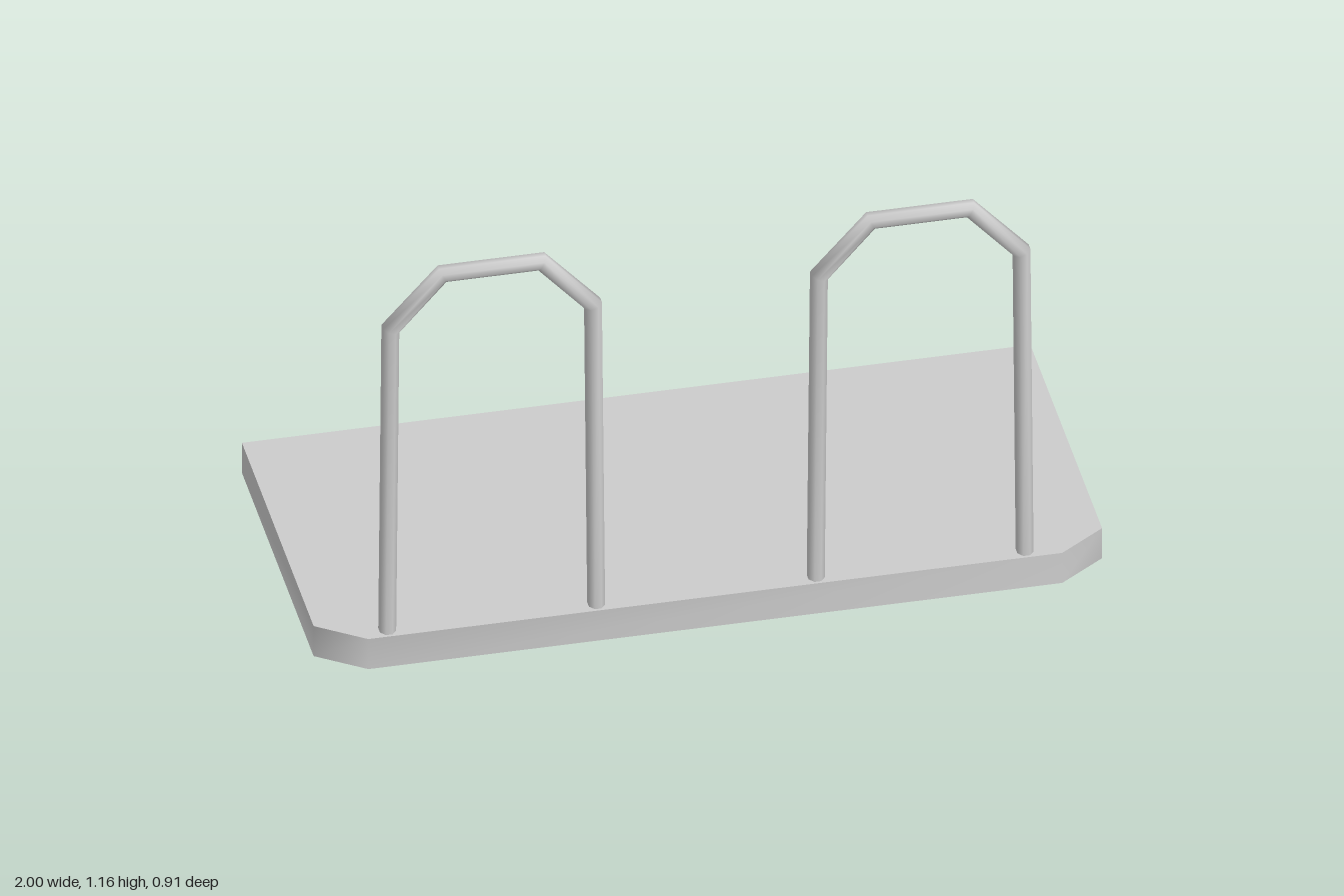
import * as THREE from 'three';
import { toCreasedNormals } from 'three/addons/utils/BufferGeometryUtils.js';

const material = new THREE.MeshStandardMaterial({ color: 0xcccccc, side: THREE.DoubleSide });

function meshFrom(positions, index) {
  const geometry = new THREE.BufferGeometry();
  geometry.setAttribute('position', new THREE.Float32BufferAttribute(positions, 3));
  geometry.setIndex(index);
  geometry.computeVertexNormals();
  return new THREE.Mesh(geometry, material);
}

// Hollow platform: a top sheet and a thin skirt, open underneath
function createPlatform(height) {
  const outline = [[-1, -0.455], [-1, 0.37], [-0.88, 0.455], [0.88, 0.455], [1, 0.37], [1, -0.455]];
  const group = new THREE.Group();
  group.name = 'platform';

  const shape = new THREE.Shape(outline.map(([x, z]) => new THREE.Vector2(x, -z)));
  const top = new THREE.Mesh(new THREE.ShapeGeometry(shape).rotateX(-Math.PI / 2), material);
  top.position.y = height;
  top.name = 'platformTop';

  const positions = [], index = [], n = outline.length;
  outline.forEach(([x, z], i) => {
    positions.push(x, 0, z, x, height, z);
    const a = 2 * i, b = 2 * ((i + 1) % n);
    index.push(a, b, b + 1, a, b + 1, a + 1);
  });
  const skirt = meshFrom(positions, index);
  skirt.geometry = toCreasedNormals(skirt.geometry, 1.1);
  skirt.name = 'platformSkirt';
  group.add(top, skirt);
  return group;
}

// Hoop: an eight-sided tube with mitred bends
function createHoop() {
  const path = [
    [-0.265, 0.085], [-0.257, 0.99], [-0.126, 1.136],
    [0.126, 1.136], [0.257, 0.99], [0.265, 0.085],
  ].map(([x, y]) => new THREE.Vector2(x, y));
  const depth = [0.025, 0.025, 0.021, 0.021, 0.025, 0.025];
  const sides = 8, radius = 0.021, positions = [], index = [];

  path.forEach((p, i) => {
    const before = p.clone().sub(path[Math.max(i - 1, 0)]).normalize();
    const after = path[Math.min(i + 1, path.length - 1)].clone().sub(p).normalize();
    const along = before.clone().add(after).normalize();
    const stretch = 1 / along.dot(i ? before : after);
    for (let k = 0; k < sides; k++) {
      const angle = ((k + 0.5) / sides) * Math.PI * 2;
      const r = Math.cos(angle) * radius * stretch * 1.06;
      positions.push(p.x - along.y * r, p.y + along.x * r, Math.sin(angle) * depth[i] * 1.06);
      if (i === 0) continue;
      const next = (k + 1) % sides, a = (i - 1) * sides, b = i * sides;
      index.push(a + k, b + next, a + next, a + k, b + k, b + next);
    }
  });
  return meshFrom(positions, index);
}

export function createModel() {
  const model = new THREE.Group();
  model.name = 'platformWithHoops';
  model.add(createPlatform(0.09));

  // Two matching hoops along the front edge
  for (const [name, x] of [['rightHoop', -0.56], ['leftHoop', 0.527]]) {
    const hoop = createHoop();
    hoop.name = name;
    hoop.position.set(x, 0, 0.423);
    model.add(hoop);
  }
  return model;
}
